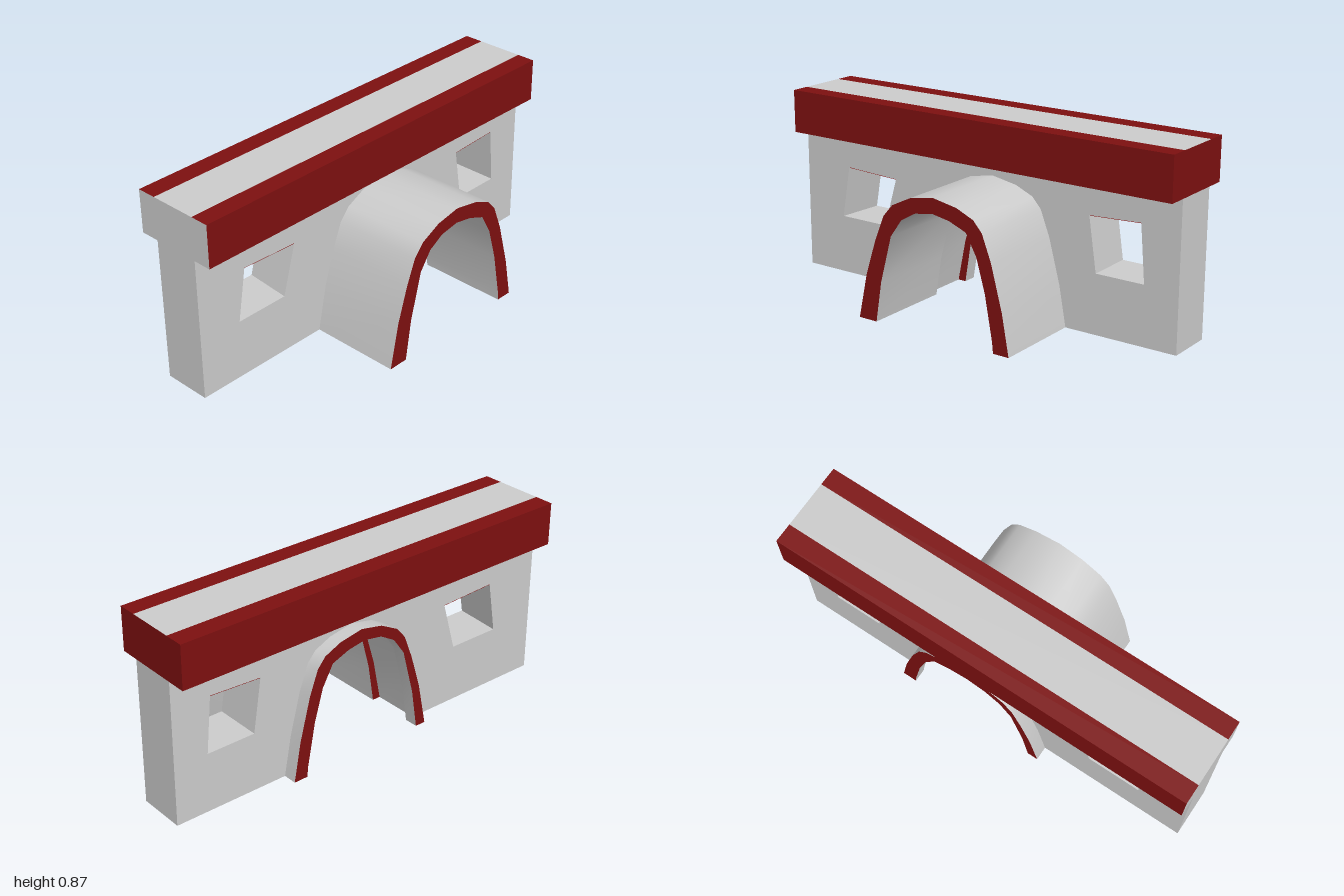
import * as THREE from 'three';
import { toCreasedNormals } from 'three/addons/utils/BufferGeometryUtils.js';

const grey = new THREE.MeshStandardMaterial({ color: 0xcccccc });
const red = new THREE.MeshStandardMaterial({ color: 0x7d1010 });

const WALL_BACK = -0.28, WALL_FRONT = -0.057;
const ROOF_BACK = -0.37, ROOF_FRONT = 0.03;

// arch outlines, from the left foot over the crown to the right foot
const tunnelOuter = [[-0.335, 0], [-0.29, 0.21], [-0.237, 0.375], [-0.19, 0.49], [-0.142, 0.545], [-0.045, 0.593],
  [0.072, 0.615], [0.195, 0.593], [0.281, 0.556], [0.324, 0.508], [0.37, 0.39], [0.425, 0.187], [0.46, 0]];
const tunnelInner = [[-0.24, 0], [-0.21, 0.187], [-0.152, 0.405], [-0.094, 0.487], [-0.02, 0.53], [0.072, 0.545],
  [0.158, 0.53], [0.243, 0.497], [0.297, 0.4], [0.34, 0.25], [0.377, 0.05], [0.382, 0]];

// moves an outline so that its feet and crown land on the given values
function fit(points, left, right, top) {
  const x0 = points[0][0], x1 = points[points.length - 1][0];
  const h = Math.max(...points.map((p) => p[1]));
  return points.map(([x, y]) => [left + (x - x0) / (x1 - x0) * (right - left), y / h * top]);
}

const vec = (points) => points.map(([x, y]) => new THREE.Vector2(x, y));

function extrude(name, points, holes, back, front, materials) {
  const shape = new THREE.Shape(vec(points));
  for (const h of holes) shape.holes.push(new THREE.Path(vec(h)));
  const geo = new THREE.ExtrudeGeometry(shape, { depth: front - back, bevelEnabled: false });
  geo.translate(0, 0, back);
  const mesh = new THREE.Mesh(toCreasedNormals(geo, 0.6), materials);
  mesh.name = name;
  return mesh;
}

// curved band with coloured end faces
function archBand(name, outer, inner, back, front) {
  return extrude(name, [...outer, ...[...inner].reverse()], [], back, front, [red, grey]);
}

export function createModel() {
  const model = new THREE.Group();
  model.name = 'gatehouse';

  // wall with an arched passage and two crooked windows
  const windows = [
    [[-0.79, 0.275], [-0.535, 0.275], [-0.468, 0.508], [-0.748, 0.52]],
    [[0.605, 0.275], [0.838, 0.275], [0.815, 0.537], [0.567, 0.525]],
  ];
  const passage = fit(tunnelOuter, -0.28, 0.42, 0.58);
  const wall = extrude('wall', [[-1, 0], ...passage, [1, 0], [1, 0.67], [-1, 0.67]], windows,
    WALL_BACK, WALL_FRONT, grey);
  // the window on one side slants sideways through the wall
  const pos = wall.geometry.attributes.position;
  for (let i = 0; i < pos.count; i++) {
    const x = pos.getX(i);
    if (pos.getZ(i) < -0.2 && x > -0.9 && x < -0.4) pos.setX(i, x + 0.018);
  }
  wall.geometry.computeVertexNormals();
  wall.geometry = toCreasedNormals(wall.geometry, 0.6);
  model.add(wall);

  // painted undersides of the window heads
  windows.forEach((w, i) => {
    const [b, a] = [w[2], w[3]], shift = i === 0 ? 0.018 : 0, d = 0.002;
    const geo = new THREE.PlaneGeometry(1, 1);
    const p = geo.attributes.position;
    [[a, WALL_BACK, shift], [b, WALL_BACK, shift], [a, WALL_FRONT, 0], [b, WALL_FRONT, 0]]
      .forEach(([c, z, s], k) => p.setXYZ(k, c[0] + s, c[1] - d, z));
    geo.setIndex([0, 1, 2, 1, 3, 2]);
    geo.computeVertexNormals();
    const mat = red.clone();
    mat.side = THREE.DoubleSide;
    const head = new THREE.Mesh(geo, mat);
    head.name = 'windowHead';
    model.add(head);
  });

  // long front tunnel and short rear arch
  model.add(archBand('frontTunnel', tunnelOuter, tunnelInner, WALL_FRONT, 0.37));
  model.add(archBand('rearArch', fit(tunnelOuter, -0.291, 0.45, 0.605),
    fit(tunnelInner, -0.24, 0.382, 0.547), -0.345, WALL_BACK));

  // roof beam: two painted edge beams around a plain core
  const beam = (name, back, front, top) => {
    const mesh = new THREE.Mesh(new THREE.BoxGeometry(2, 0.2, front - back), [red, grey, top, red, red, red]);
    mesh.position.set(0, 0.77, (back + front) / 2);
    mesh.name = name;
    model.add(mesh);
  };
  beam('rearRoofEdge', ROOF_BACK, WALL_BACK, red);
  beam('roofCore', WALL_BACK, WALL_FRONT, grey);
  beam('frontRoofEdge', WALL_FRONT, ROOF_FRONT, red);

  return model;
}
